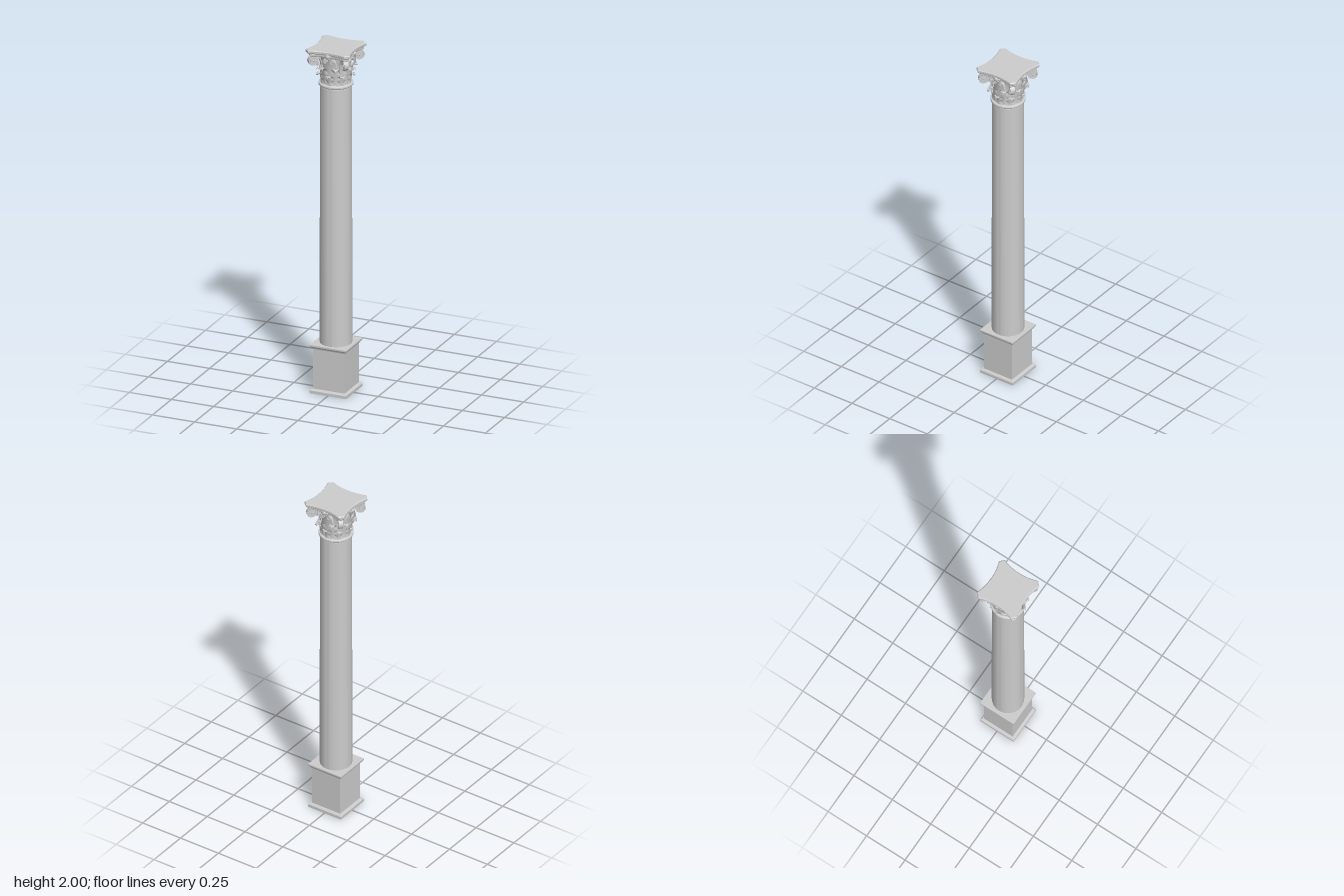
import * as THREE from 'three';
import { toCreasedNormals } from 'three/addons/utils/BufferGeometryUtils.js';

const smooth = new THREE.MeshStandardMaterial({ color: 0xcccccc });
const flat = new THREE.MeshStandardMaterial({ color: 0xcccccc, flatShading: true });
const thin = new THREE.MeshStandardMaterial({ color: 0xcccccc, side: THREE.DoubleSide });

function add(parent, name, geometry, material = smooth) {
  const mesh = new THREE.Mesh(geometry, material);
  mesh.name = name;
  parent.add(mesh);
  return mesh;
}

const points = (list) => list.map(([r, y]) => new THREE.Vector2(r, y));

// Round profile, with hard edges kept where the profile turns sharply
const turned = (list, sides = 48) =>
  toCreasedNormals(new THREE.LatheGeometry(points(list), sides), 0.6);

// Square profile: half widths against height
const squareTurned = (list) =>
  new THREE.LatheGeometry(points(list.map(([h, y]) => [h * Math.SQRT2, y])), 4, Math.PI / 4);

// Four concave sides with clipped corners; corner and middle are half widths
function abacusLayer(corner, middle, clip, y0, y1, bevel) {
  const outline = [];
  for (let side = 0; side < 4; side++) {
    const a = side * Math.PI / 2;
    for (let i = 0; i <= 8; i++) {
      const s = i / 4 - 1;
      const u = s * (corner - clip);
      const v = -(middle + (corner - middle) * s * s);
      outline.push(new THREE.Vector2(u, v).rotateAround(new THREE.Vector2(), a));
    }
  }
  const geometry = new THREE.ExtrudeGeometry(new THREE.Shape(outline), {
    depth: y1 - y0 - 2 * bevel, bevelEnabled: true, bevelSegments: 1,
    bevelSize: bevel, bevelThickness: bevel, bevelOffset: -bevel,
  });
  geometry.rotateX(-Math.PI / 2).translate(0, y0 + bevel, 0);
  return toCreasedNormals(geometry, 0.4);
}

// Lobed leaf bending outward along a radius/height path, tip curled down
function leafGeometry(path, halfWidth) {
  const curve = new THREE.CatmullRomCurve3(path.map(([r, y]) => new THREE.Vector3(0, y, r)));
  const rows = 24, cols = 6, position = [], index = [];
  for (let i = 0; i <= rows; i++) {
    const t = i / rows, p = curve.getPoint(t);
    const lobes = 0.78 + 0.22 * Math.cos(t * Math.PI * 7);
    const w = halfWidth * lobes * Math.sqrt(Math.max(0.06, 1 - t * t * 0.9));
    for (let j = 0; j <= cols; j++) {
      const s = j / cols * 2 - 1;
      const rib = 0.004 * (1 - Math.abs(s)) - 0.004 * s * s;
      position.push(s * w, p.y, p.z + rib);
      if (i < rows && j < cols) {
        const a = i * (cols + 1) + j, b = a + cols + 1;
        index.push(a, a + 1, b, a + 1, b + 1, b);
      }
    }
  }
  const geometry = new THREE.BufferGeometry();
  geometry.setAttribute('position', new THREE.Float32BufferAttribute(position, 3));
  geometry.setIndex(index);
  geometry.computeVertexNormals();
  return geometry;
}

// Scroll seen side-on: thick stem climbing outward, spiral rim and central eye
function scroll(name, start, centre, radius, width) {
  const group = new THREE.Group();
  group.name = name;
  const [cx, cy] = centre;
  const stem = new THREE.CubicBezierCurve(
    new THREE.Vector2(...start),
    new THREE.Vector2(start[0] + 0.004, cy + radius * 0.5),
    new THREE.Vector2(cx - radius, cy + radius),
    new THREE.Vector2(cx, cy + radius));
  const centreLine = stem.getPoints(10);
  for (let i = 1; i <= 40; i++) {
    const a = Math.PI / 2 - i / 40 * Math.PI * 3.5;
    const r = radius * (1 - 0.72 * i / 40);
    centreLine.push(new THREE.Vector2(cx + r * Math.cos(a), cy + r * Math.sin(a)));
  }
  // Band cross-section swept along the spiral
  const position = [], index = [], half = radius * 0.1;
  centreLine.forEach((p, i) => {
    const q = centreLine[Math.min(i + 1, centreLine.length - 1)];
    const o = centreLine[Math.max(i - 1, 0)];
    const d = q.clone().sub(o).normalize();
    for (const [n, z] of [[1, 1], [1, -1], [-1, -1], [-1, 1]])
      position.push(p.x - d.y * half * n, p.y + d.x * half * n, z * width / 2);
    if (i < centreLine.length - 1) for (let k = 0; k < 4; k++) {
      const a = i * 4 + k, b = i * 4 + (k + 1) % 4;
      index.push(a, a + 4, b, b, a + 4, b + 4);
    }
  });
  const band = new THREE.BufferGeometry();
  band.setAttribute('position', new THREE.Float32BufferAttribute(position, 3));
  band.setIndex(index);
  add(group, 'scrollBand', toCreasedNormals(band, 0.7), thin);
  const disc = new THREE.CylinderGeometry(radius * 0.95, radius * 0.95, width * 0.75, 24);
  add(group, 'scrollDisc', disc.rotateX(Math.PI / 2).translate(cx, cy, 0));
  const eye = new THREE.SphereGeometry(radius * 0.25, 12, 8);
  add(group, 'scrollEye', eye.scale(1, 1, width / radius * 2.2).translate(cx, cy, 0));
  return group;
}

export function createModel() {
  const model = new THREE.Group();
  model.name = 'column';

  // Pedestal
  add(model, 'pedestal', squareTurned([
    [0, 0], [0.109, 0], [0.109, 0.016], [0.104, 0.022], [0.093, 0.024],
    [0.093, 0.254], [0.098, 0.256], [0.1, 0.262], [0.107, 0.268],
    [0.109, 0.272], [0.109, 0.28], [0, 0.28],
  ]), flat);

  // Shaft and neck ring
  add(model, 'shaft', turned([[0.088, 0.279], [0.088, 0.9], [0.087, 1.785]], 64));
  const ring = [[0.08, 1.774], [0.09, 1.774]];
  for (let i = 0; i <= 8; i++) {
    const a = (i / 8 - 0.5) * Math.PI;
    ring.push([0.089 + 0.007 * Math.cos(a), 1.786 + 0.009 * Math.sin(a)]);
  }
  ring.push([0.078, 1.797]);
  add(model, 'neckRing', turned(ring));

  const capital = new THREE.Group();
  capital.name = 'capital';
  model.add(capital);

  // Bell
  add(capital, 'bell', turned([
    [0.078, 1.79], [0.077, 1.84], [0.078, 1.89], [0.083, 1.93], [0.092, 1.958], [0.092, 1.968], [0, 1.968],
  ]));

  // Two rows of leaves, the upper row set between the lower ones
  const lower = leafGeometry([[0.082, 1.793], [0.085, 1.825], [0.093, 1.85], [0.106, 1.858], [0.112, 1.846]], 0.03);
  const upper = leafGeometry([[0.08, 1.8], [0.082, 1.85], [0.089, 1.885], [0.106, 1.902], [0.116, 1.889]], 0.028);
  for (let i = 0; i < 8; i++) {
    add(capital, 'lowerLeaf', lower, thin).rotation.y = i * Math.PI / 4;
    add(capital, 'upperLeaf', upper, thin).rotation.y = (i + 0.5) * Math.PI / 4;
  }

  for (let i = 0; i < 4; i++) {
    // Corner scroll on the diagonal
    const corner = scroll('cornerScroll', [0.08, 1.86], [0.133, 1.932], 0.029, 0.024);
    corner.rotation.y = (i + 0.5) * Math.PI / 2;
    capital.add(corner);

    // Paired small scrolls and flower in the middle of each face
    const face = new THREE.Group();
    face.name = 'faceOrnament';
    face.rotation.y = i * Math.PI / 2;
    for (const side of [-1, 1]) {
      const small = scroll('innerScroll', [-0.03, 1.885], [-0.003, 1.937], 0.013, 0.014);
      small.position.set(side * 0.018, 0, 0.092);
      small.rotation.y = side > 0 ? Math.PI : 0;
      face.add(small);
    }
    const bud = new THREE.SphereGeometry(0.012, 16, 10);
    add(face, 'flowerCentre', bud.scale(1, 1, 0.8).translate(0, 1.972, 0.109));
    for (let k = 0; k < 6; k++) {
      const a = k * Math.PI / 3;
      const petal = new THREE.SphereGeometry(0.009, 10, 8);
      add(face, 'flowerPetal', petal.scale(1, 1, 0.6)
        .translate(0.013 * Math.cos(a), 1.972 + 0.013 * Math.sin(a), 0.106));
    }
    capital.add(face);
  }

  // Abacus in two steps
  add(capital, 'abacusLower', abacusLayer(0.121, 0.102, 0.021, 1.963, 1.981, 0.004));
  add(capital, 'abacusUpper', abacusLayer(0.131, 0.112, 0.023, 1.979, 2, 0.005));

  return model;
}
